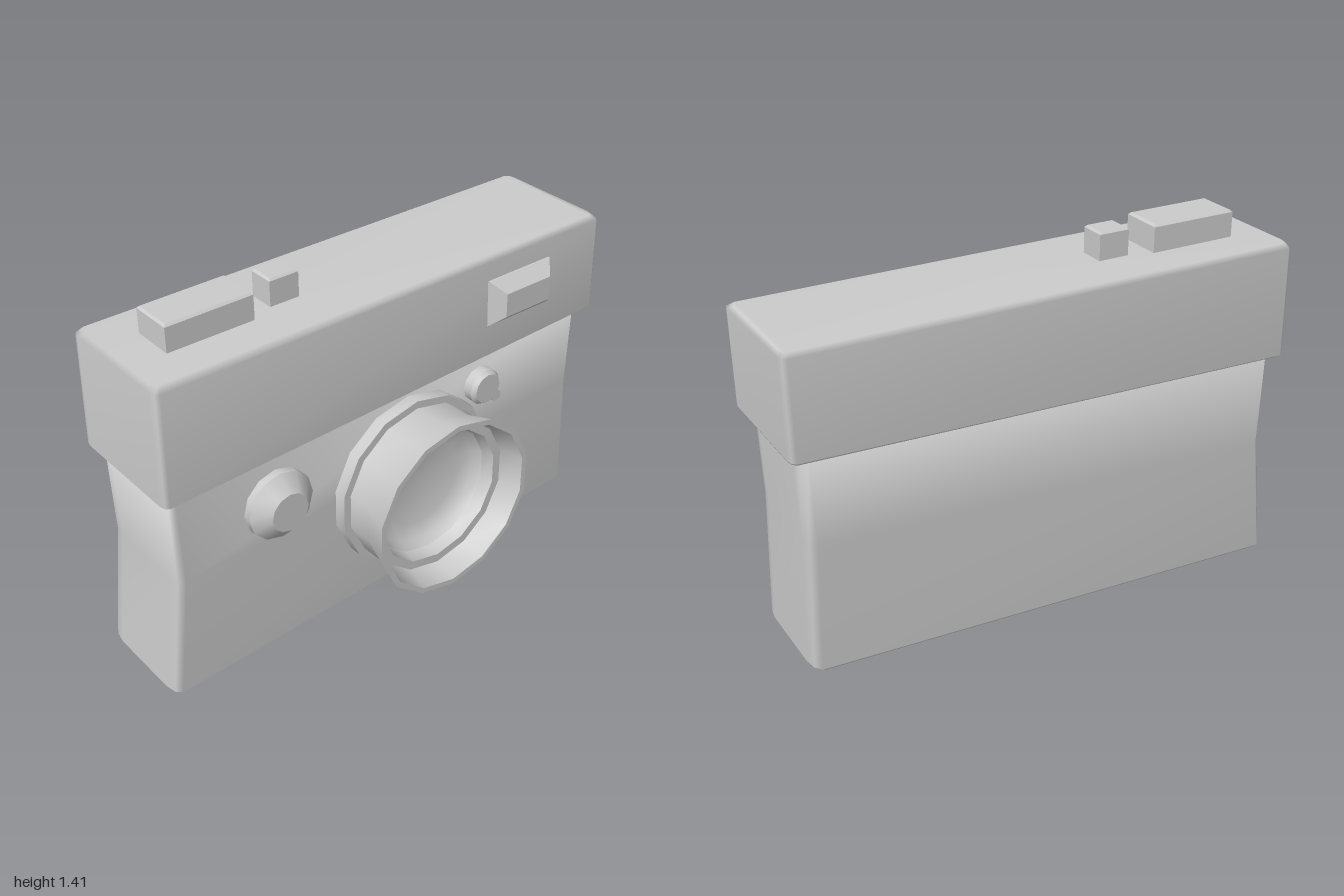
import * as THREE from 'three';
import { mergeVertices, toCreasedNormals } from 'three/addons/utils/BufferGeometryUtils.js';

const grey = new THREE.MeshStandardMaterial({ color: 0xcccccc, side: THREE.DoubleSide });

function add(parent, name, geometry, x = 0, y = 0, z = 0) {
  const mesh = new THREE.Mesh(geometry, grey);
  mesh.name = name;
  mesh.position.set(x, y, z);
  parent.add(mesh);
  return mesh;
}

// Horizontal ring with bevelled corners; its height slopes from yl (left edge) to yr (right edge)
function ring({ xl, xr, yl, yr, zb, zf, cx, cz }) {
  const corner = [[0, cz], [cx * 0.3, cz * 0.3], [cx, 0]];
  const pts = [];
  for (const [sx, sz] of [[1, 1], [1, -1], [-1, -1], [-1, 1]]) {
    const steps = sx * sz > 0 ? [...corner].reverse() : corner;
    for (const [dx, dz] of steps) {
      const x = sx > 0 ? xr - dx : xl + dx;
      const z = sz > 0 ? zf - dz : zb + dz;
      const t = (x - xl) / (xr - xl);
      pts.push(new THREE.Vector3(x, yl + (yr - yl) * t, z));
    }
  }
  return pts;
}

// Skin rings from bottom to top and cap both ends
function loft(rings) {
  const pos = [];
  const tri = (a, b, c) => pos.push(...a.toArray(), ...b.toArray(), ...c.toArray());
  const n = rings[0].length;
  for (let k = 0; k < rings.length - 1; k++) {
    for (let i = 0; i < n; i++) {
      const j = (i + 1) % n;
      const [a, b, c, d] = [rings[k][i], rings[k][j], rings[k + 1][j], rings[k + 1][i]];
      tri(a, c, b);
      tri(a, d, c);
    }
  }
  const last = rings[rings.length - 1];
  for (let i = 1; i < n - 1; i++) {
    tri(rings[0][0], rings[0][i], rings[0][i + 1]);
    tri(last[0], last[i + 1], last[i]);
  }
  const g = new THREE.BufferGeometry();
  g.setAttribute('position', new THREE.Float32BufferAttribute(pos, 3));
  const merged = mergeVertices(g, 1e-4);
  merged.computeVertexNormals();
  return merged;
}

// Turned part whose axis points along +z; profile is [radius, z]
function turned(profile, sides, crease = 0.6) {
  const g = new THREE.LatheGeometry(profile.map(([r, z]) => new THREE.Vector2(r, z)), sides);
  g.rotateX(Math.PI / 2);
  g.deleteAttribute('uv');
  g.deleteAttribute('normal');
  return toCreasedNormals(mergeVertices(g, 1e-4), crease);
}

// Box with bevelled front edge: w x h at the back, inset at the front
function bevelBlock(w, h, depth, straight, inset) {
  const shapeAt = (s, z) => [[1, 1], [-1, 1], [-1, -1], [1, -1]]
    .map(([a, b]) => new THREE.Vector3(a * (w / 2 - s), b * (h / 2 - s), z));
  // loft skins clockwise rings, so list the corners in reverse
  const rings = [[0, 0], [0, straight], [inset, depth]].map(([s, z]) => shapeAt(s, z).reverse());
  return toCreasedNormals(loft(rings), 0.3);
}

export function createModel() {
  const model = new THREE.Group();
  model.name = 'camera';

  // Lower body, waisted, with a sloping underside
  const bz = { zb: -0.35, zf: 0.09, cx: 0.03, cz: 0.07 };
  add(model, 'body', loft([
    { ...bz, xl: -0.985, xr: 0.935, yl: 0.005, yr: 0.09, zb: -0.335, zf: 0.072 },
    { ...bz, xl: -1, xr: 0.95, yl: 0.02, yr: 0.107 },
    { ...bz, xl: -0.945, xr: 0.936, yl: 0.5, yr: 0.6 },
    { ...bz, xl: -0.955, xr: 0.95, yl: 0.88, yr: 0.95 },
  ].map(ring)));

  // Overhanging top housing
  const tz = { zb: -0.39, zf: 0.13, cx: 0.02, cz: 0.035 };
  add(model, 'topHousing', loft([
    { ...tz, xl: -0.975, xr: 0.98, yl: 0.86, yr: 0.92, zb: -0.365, zf: 0.105 },
    { ...tz, xl: -0.99, xr: 0.988, yl: 0.873, yr: 0.935, zb: -0.382, zf: 0.133 },
    { ...tz, xl: -0.978, xr: 0.998, yl: 1.3, yr: 1.298, zf: 0.12 },
    { ...tz, xl: -0.965, xr: 0.985, yl: 1.318, yr: 1.312, zb: -0.37, zf: 0.095 },
  ].map(ring)));

  // Lens: mounting flange, then a flared hollow barrel with recessed glass
  const lens = new THREE.Group();
  lens.name = 'lens';
  lens.position.set(0.05, 0.537, 0);
  model.add(lens);
  add(lens, 'lensFlange', turned([[0, 0.12], [0.348, 0.12], [0.348, 0.17], [0.31, 0.17]], 14));
  add(lens, 'lensBarrel', turned([
    [0.318, 0.165], [0.318, 0.27], [0.357, 0.393], [0.335, 0.393],
    [0.31, 0.3], [0.275, 0.3], [0.262, 0.25],
  ], 14));
  add(lens, 'lensGlass', turned([[0.265, 0.255], [0.24, 0.215], [0.18, 0.195], [0, 0.185]], 14, 0.9));

  // Front controls
  add(model, 'frontDial', turned(
    [[0, 0.08], [0.137, 0.08], [0.137, 0.12], [0.077, 0.175], [0, 0.175]], 12), -0.527, 0.667, 0);
  add(model, 'frontButton', turned(
    [[0, 0.08], [0.073, 0.08], [0.073, 0.127], [0.06, 0.145], [0, 0.145]], 12), 0.425, 0.775, 0);
  add(model, 'frontPin', turned(
    [[0, 0.08], [0.023, 0.08], [0.023, 0.1], [0, 0.1]], 10), 0.517, 0.685, 0);

  // Viewfinder window
  add(model, 'viewfinder', bevelBlock(0.305, 0.185, 0.08, 0.03, 0.045), 0.573, 1.133, 0.1);

  // Buttons on the top plate
  const buttons = [
    ['filmAdvance', 0.343, 0.168, -0.653, -0.135],
    ['shutterButton', 0.12, 0.102, -0.33, -0.14],
  ];
  for (const [name, w, d, x, z] of buttons) {
    add(model, name, bevelBlock(w, d, 0.12, 0.112, 0.008), x, 1.3, z).rotation.x = -Math.PI / 2;
  }
  return model;
}
